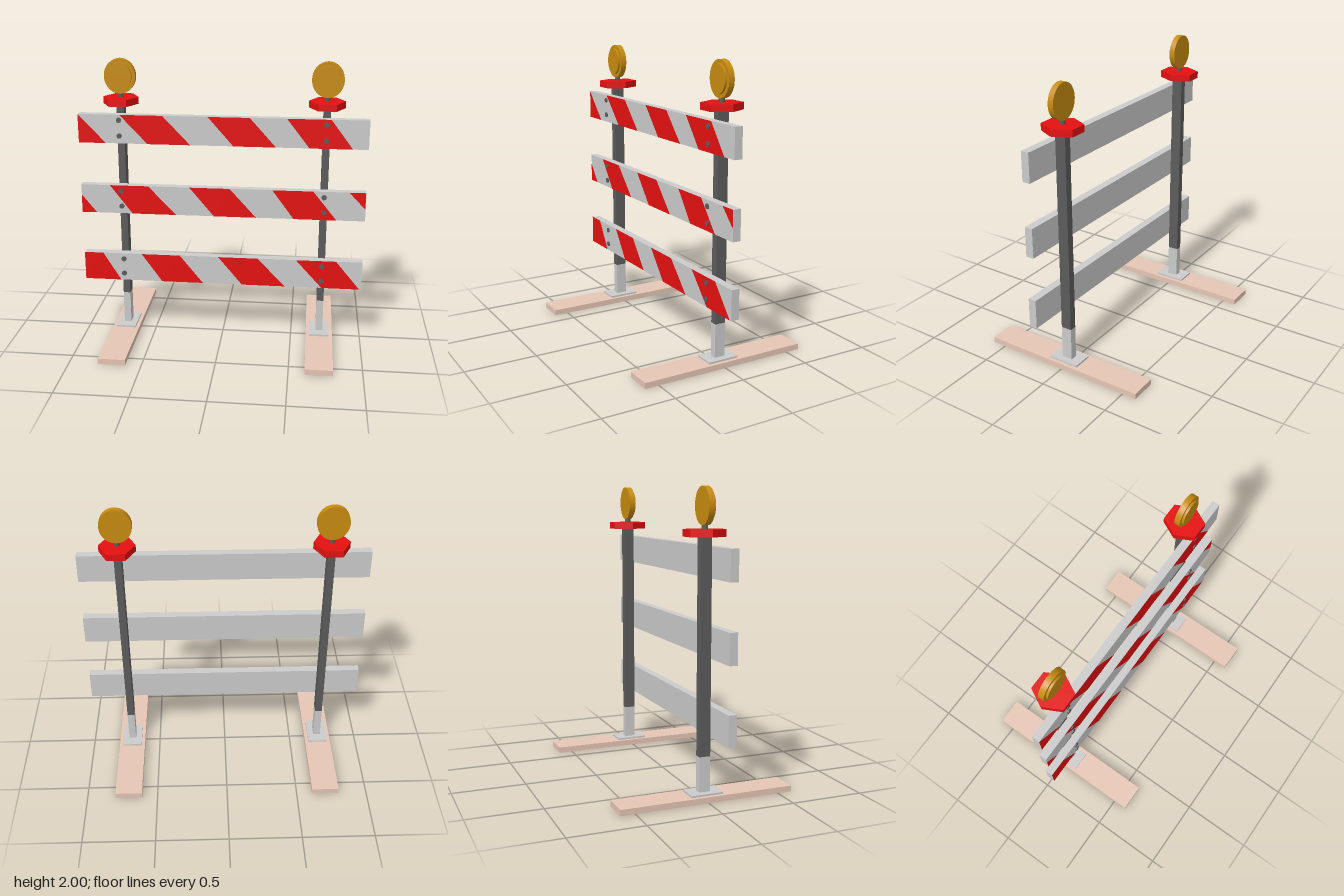
import * as THREE from 'three';

const mat = (color, extra = {}) => new THREE.MeshStandardMaterial({ color, ...extra });
const grey = mat(0xcccccc);
const steel = mat(0x5c5c5c);
const red = mat(0xe61010);
const redFlat = mat(0xe61010, { flatShading: true });
const amber = mat(0xc88c10);
const wood = mat(0xe6c6b5);

function add(parent, name, geometry, material, x = 0, y = 0, z = 0) {
  const mesh = new THREE.Mesh(geometry, material);
  mesh.name = name;
  mesh.position.set(x, y, z);
  parent.add(mesh);
  return mesh;
}

// Box given by its y and z limits, centred on x
function slab(parent, name, width, y0, y1, z0, z1, material) {
  return add(parent, name, new THREE.BoxGeometry(width, y1 - y0, z1 - z0), material,
    0, (y0 + y1) / 2, (z0 + z1) / 2);
}

// Oval disc facing +z
function disc(parent, name, rx, ry, z0, z1, y, material) {
  const g = new THREE.CylinderGeometry(1, 1, z1 - z0, 40).rotateX(Math.PI / 2).scale(rx, ry, 1);
  return add(parent, name, g, material, 0, y, (z0 + z1) / 2);
}

// Foot, socket, post, cap and warning lamp
function createUpright(name, x) {
  const g = new THREE.Group();
  g.name = name;
  g.position.x = x;
  slab(g, 'foot', 0.19, 0, 0.04, -0.6, 0.6, wood);
  slab(g, 'basePlate', 0.14, 0.04, 0.053, -0.11, 0.11, grey);
  slab(g, 'socket', 0.05, 0.053, 0.287, -0.038, 0.038, grey);
  slab(g, 'post', 0.05, 0.287, 1.69, -0.038, 0.038, steel);

  // Hexagonal cap with its points to the sides
  const hex = new THREE.CylinderGeometry(0.123, 0.123, 0.047, 6).rotateY(Math.PI / 6);
  hex.scale(1, 1, 1.13);
  hex.computeBoundingBox();
  add(g, 'cap', hex, redFlat, 0, 1.713, -0.003);

  add(g, 'lampNeck', new THREE.CylinderGeometry(0.02, 0.02, 0.06, 16), steel, 0, 1.755, 0);
  disc(g, 'lampBody', 0.108, 0.12, -0.02, 0.02, 1.88, amber);
  disc(g, 'lampLens', 0.084, 0.095, 0.02, 0.035, 1.88, amber);
  return g;
}

// Boards: height limits, and stripes as corner lists [x, height fraction, ...]
const stripe = (t0, t1, b0, b1) => [t0, 1, t1, 1, b1, 0, b0, 0];
const boards = [
  {
    name: 'topBoard', y0: 1.43, y1: 1.63, stripes: [
      [-0.99, 1, -0.8, 0, -0.99, 0],
      stripe(-0.7, -0.405, -0.51, -0.215),
      stripe(-0.095, 0.19, 0.08, 0.37),
      stripe(0.44, 0.735, 0.595, 0.885),
    ],
  },
  {
    name: 'middleBoard', y0: 0.923, y1: 1.127, stripes: [
      [-0.99, 0.64, -0.885, 0, -0.99, 0],
      stripe(-0.785, -0.515, -0.63, -0.32),
      stripe(-0.225, 0.055, -0.055, 0.24),
      stripe(0.35, 0.63, 0.5, 0.795),
      [0.875, 1, 0.988, 1, 0.988, 0.42],
    ],
  },
  {
    name: 'bottomBoard', y0: 0.413, y1: 0.617, stripes: [
      stripe(-0.99, -0.855, -0.99, -0.73),
      stripe(-0.575, -0.3, -0.43, -0.135),
      stripe(-0.025, 0.255, 0.145, 0.45),
      stripe(0.525, 0.805, 0.71, 0.975),
    ],
  },
];

function createBoard({ name, y0, y1, stripes }) {
  const g = new THREE.Group();
  g.name = name;
  slab(g, 'plank', 1.98, y0, y1, 0.038, 0.094, grey);
  for (const s of stripes) {
    const points = [];
    for (let i = 0; i < s.length; i += 2) {
      points.push(new THREE.Vector2(s[i], y0 + s[i + 1] * (y1 - y0)));
    }
    add(g, 'stripe', new THREE.ShapeGeometry(new THREE.Shape(points)), red, 0, 0, 0.0955);
  }
  // Two bolts at each post
  for (const x of [-0.705, 0.705]) {
    for (const y of [y0 + 0.053, y0 + 0.163]) {
      const bolt = new THREE.CylinderGeometry(0.018, 0.018, 0.012, 16).rotateX(Math.PI / 2);
      add(g, 'bolt', bolt, steel, x, y, 0.096);
    }
  }
  return g;
}

export function createModel() {
  const model = new THREE.Group();
  model.name = 'roadBarricade';
  model.add(createUpright('rightUpright', -0.705), createUpright('leftUpright', 0.705));
  for (const board of boards) model.add(createBoard(board));
  return model;
}
